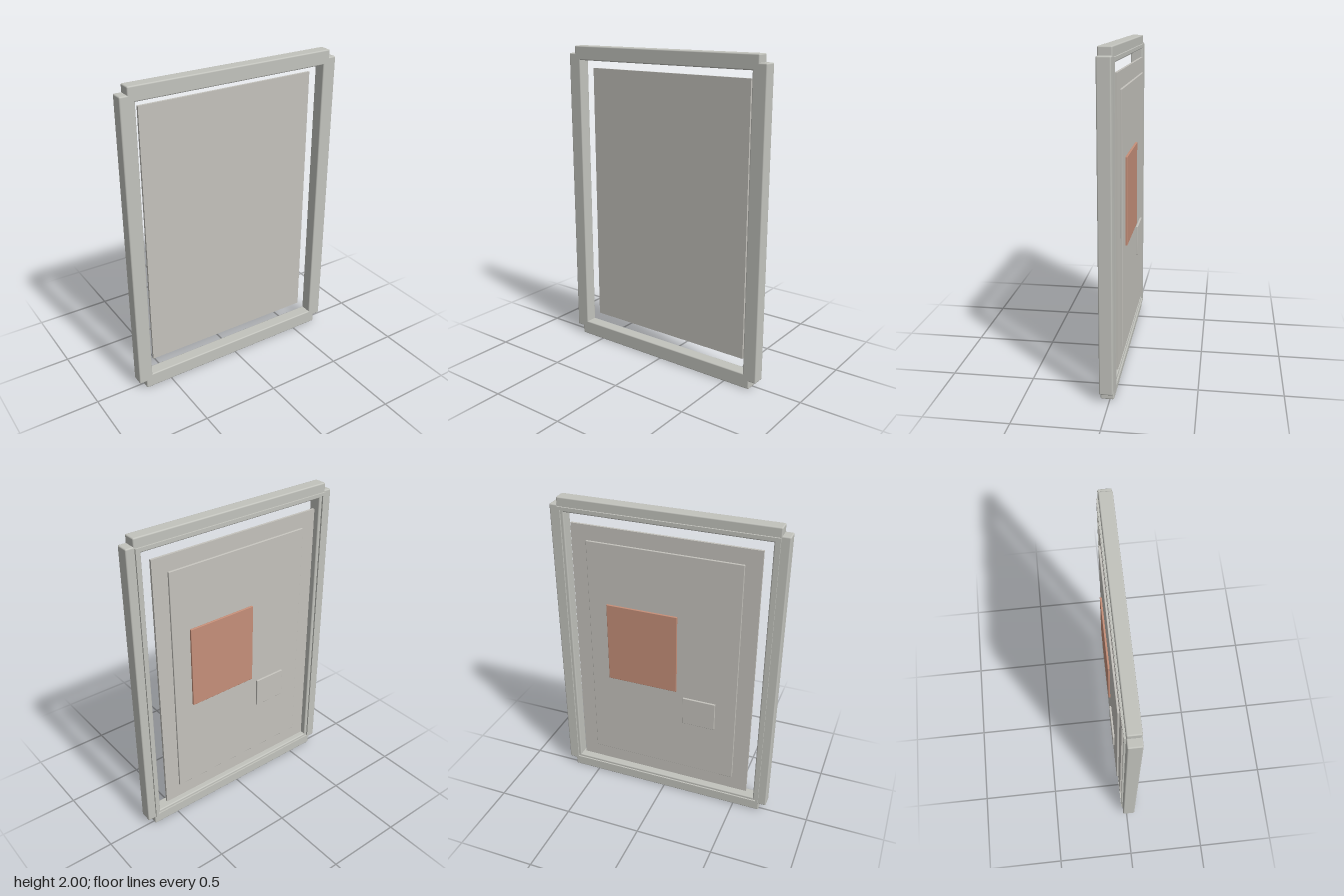
import * as THREE from 'three';
import { RoundedBoxGeometry } from 'three/addons/geometries/RoundedBoxGeometry.js';

export function createModel() {
  const group = new THREE.Group();
  const material = (name, color) => {
    const m = new THREE.MeshStandardMaterial({ color });
    m.name = name;
    return m;
  };
  const frameGrey = material('frame grey', 0xc2c3bd);
  const panelGrey = material('panel grey', 0xc4c2bc);
  const copper = material('copper', 0xc58f79);

  // Block given by its limits on each axis; a radius rounds its edges
  const block = (name, mat, [x0, x1], [y0, y1], [z0, z1], radius = 0) => {
    const size = [x1 - x0, y1 - y0, z1 - z0];
    const geometry = radius
      ? new RoundedBoxGeometry(...size, 2, radius)
      : new THREE.BoxGeometry(...size);
    const mesh = new THREE.Mesh(geometry, mat);
    mesh.name = name;
    mesh.position.set((x0 + x1) / 2, (y0 + y1) / 2, (z0 + z1) / 2);
    group.add(mesh);
  };

  // Outer frame: four bars crossing at stepped corners
  const depth = [-0.025, 0.055];
  block('topBar', frameGrey, [-0.678, 0.678], [1.91, 2], depth, 0.008);
  block('bottomBar', frameGrey, [-0.678, 0.678], [0, 0.095], depth, 0.008);
  block('leftBar', frameGrey, [0.635, 0.726], [0.052, 1.952], depth, 0.008);
  block('rightBar', frameGrey, [-0.726, -0.635], [0.052, 1.952], depth, 0.008);

  // Thin sealing lip on the back of the frame
  const lip = [-0.035, -0.02];
  block('topLip', frameGrey, [-0.673, 0.673], [1.925, 1.943], lip);
  block('bottomLip', frameGrey, [-0.673, 0.673], [0.06, 0.078], lip);
  block('leftLip', frameGrey, [0.655, 0.673], [0.078, 1.925], lip);
  block('rightLip', frameGrey, [-0.673, -0.655], [0.078, 1.925], lip);

  // Main panel with the stacked plates behind it
  block('mainPanel', panelGrey, [-0.587, 0.587], [0.147, 1.858], [-0.035, -0.02]);
  block('backPlate', panelGrey, [-0.488, 0.488], [0.243, 1.762], [-0.047, -0.033], 0.003);
  block('copperPlate', copper, [-0.096, 0.366], [0.833, 1.365], [-0.059, -0.045], 0.003);
  block('smallPlate', panelGrey, [-0.355, -0.14], [0.604, 0.796], [-0.059, -0.045], 0.003);

  return group;
}
